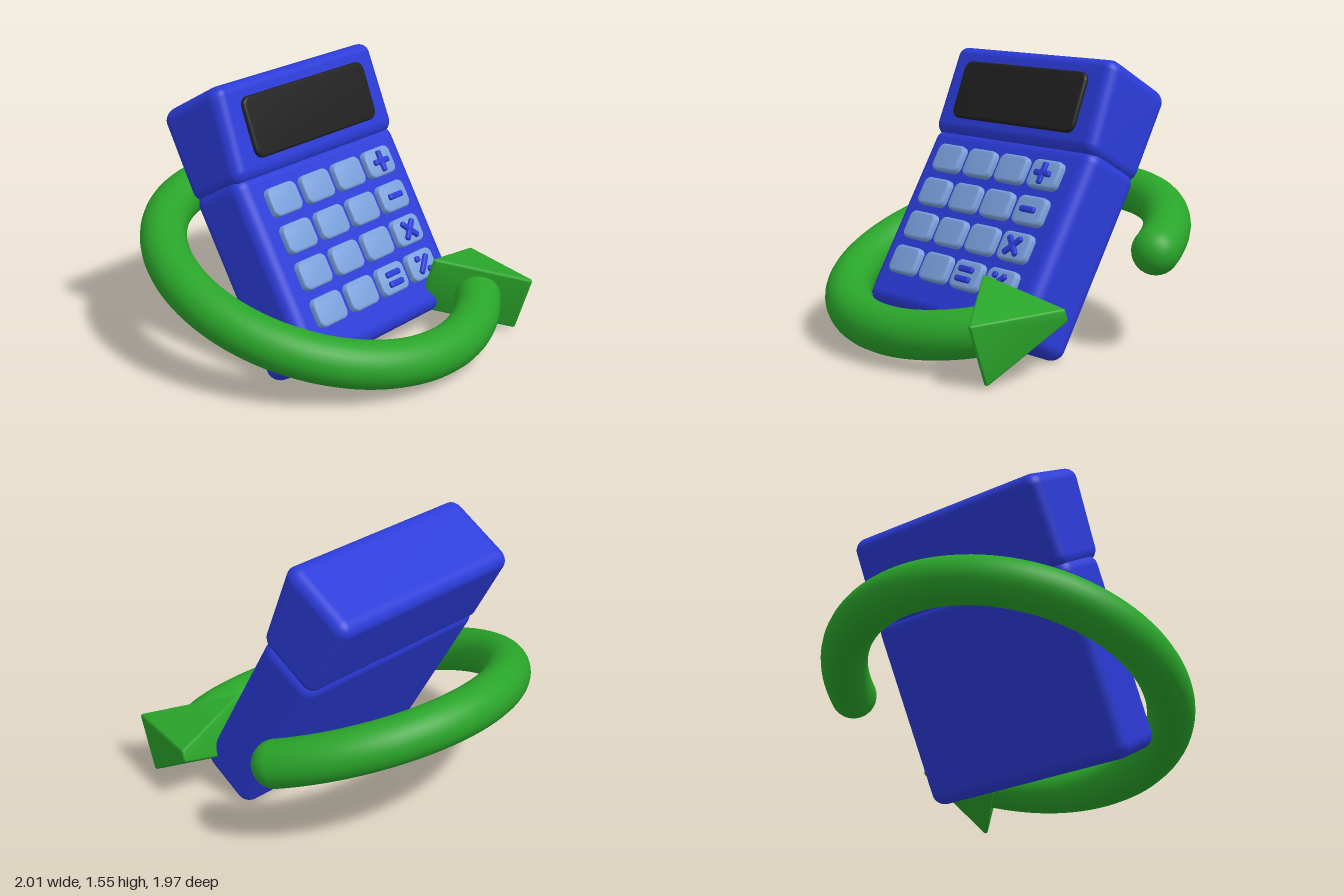
import * as THREE from 'three';
import { mergeVertices, toCreasedNormals } from 'three/addons/utils/BufferGeometryUtils.js';
import { RoundedBoxGeometry } from 'three/addons/geometries/RoundedBoxGeometry.js';
import { ConvexGeometry } from 'three/addons/geometries/ConvexGeometry.js';

const paint = (color) => new THREE.MeshStandardMaterial({ color });
const blue = paint(0x2b3bd8);
const lightBlue = paint(0x7aa0dc);
const black = paint(0x202020);
const green = paint(0x2aa52a);

function addMesh(parent, name, geometry, material, x = 0, y = 0, z = 0) {
  const mesh = new THREE.Mesh(geometry, material);
  mesh.name = name;
  mesh.position.set(x, y, z);
  parent.add(mesh);
  return mesh;
}

// Thin plate with rounded corners and a soft front edge; back at z = 0
function plate(w, h, depth, r, bevel) {
  const x = w / 2 - bevel, y = h / 2 - bevel, k = r - bevel;
  const s = new THREE.Shape();
  s.absarc(x - k, y - k, k, 0, Math.PI / 2);
  s.absarc(-x + k, y - k, k, Math.PI / 2, Math.PI);
  s.absarc(-x + k, -y + k, k, Math.PI, Math.PI * 1.5);
  s.absarc(x - k, -y + k, k, Math.PI * 1.5, Math.PI * 2);
  const g = new THREE.ExtrudeGeometry(s, {
    depth: depth - 2 * bevel, bevelThickness: bevel, bevelSize: bevel, bevelSegments: 4, curveSegments: 6,
  });
  g.translate(0, 0, bevel);
  return toCreasedNormals(g, 0.7);
}

// Display housing: deeper and slightly narrower towards its top
function headGeometry(w, h, depthLow, depthHigh) {
  let g = new RoundedBoxGeometry(w, h, depthLow, 6, 0.065);
  const p = g.attributes.position;
  for (let i = 0; i < p.count; i++) {
    const t = p.getY(i) / h + 0.5;
    p.setX(i, p.getX(i) * (1 - 0.025 * t * t));
    p.setZ(i, (p.getZ(i) + depthLow / 2) * (1 + (depthHigh / depthLow - 1) * t));
  }
  g.deleteAttribute('normal');
  g.deleteAttribute('uv');
  g = mergeVertices(g, 1e-4);
  g.computeVertexNormals();
  return g;
}

function createCalculator() {
  const calc = new THREE.Group();
  calc.name = 'calculator';
  calc.position.x = 0.03;
  calc.rotation.x = -Math.PI / 6;

  // Casing
  addMesh(calc, 'keypadBody', new RoundedBoxGeometry(1.32, 1.09, 0.385, 6, 0.075), blue, 0, 0.437, 0.327);
  addMesh(calc, 'displayHousing', headGeometry(1.315, 0.525, 0.405, 0.49), blue, 0, 1.1975, 0.135);
  addMesh(calc, 'screen', plate(1.0, 0.335, 0.07, 0.055, 0.015), black, 0, 1.2, 0.537).rotation.x = 0.16;

  // Keys
  const columns = [-0.405, -0.135, 0.132, 0.4];
  const rows = [0.785, 0.575, 0.367, 0.157];
  const keyGeometry = plate(0.222, 0.162, 0.075, 0.04, 0.015);
  for (const y of rows) for (const x of columns) addMesh(calc, 'key', keyGeometry, lightBlue, x, y, 0.483);

  // Raised signs, made of bars: [x, y, length, turn]
  const sign = (name, col, row, bars) => {
    const group = new THREE.Group();
    group.name = name;
    group.position.set(columns[col], rows[row], 0.56);
    for (const [x, y, length, turn] of bars) {
      addMesh(group, 'bar', new RoundedBoxGeometry(length, 0.034, 0.034, 3, 0.012), blue, x, y, 0).rotation.z = turn;
    }
    calc.add(group);
  };
  const q = Math.PI / 4;
  sign('plusSign', 3, 0, [[0, 0, 0.125, 0], [0, 0, 0.125, 2 * q]]);
  sign('minusSign', 3, 1, [[0, 0, 0.115, 0]]);
  sign('timesSign', 3, 2, [[0, 0, 0.14, q], [0, 0, 0.14, -q]]);
  sign('divideSign', 3, 3, [[0, 0, 0.13, q], [-0.038, 0.038, 0.036, 0], [0.038, -0.038, 0.036, 0]]);
  sign('equalsSign', 2, 3, [[0, 0.028, 0.115, 0], [0, -0.028, 0.115, 0]]);
  return calc;
}

function createArrow() {
  const arrow = new THREE.Group();
  arrow.name = 'circlingArrow';
  arrow.position.set(0.03, 0.455, 0);
  arrow.rotation.x = 0.323;
  const R = 0.905, r = 0.129;

  // Shaft: an open ring with a rounded tail
  const start = THREE.MathUtils.degToRad(48), end = THREE.MathUtils.degToRad(339);
  const ring = new THREE.TorusGeometry(R, r, 28, 96, end - start);
  ring.rotateZ(start).rotateX(Math.PI / 2);
  addMesh(arrow, 'arrowShaft', ring, green);
  addMesh(arrow, 'arrowTail', new THREE.SphereGeometry(r, 28, 20), green, R * Math.cos(end), 0, R * Math.sin(end));

  // Head: a wedge with softened corners, [x, half height, z]
  const e = 0.014, ball = new THREE.IcosahedronGeometry(e, 1).attributes.position;
  const points = [];
  for (const [x, h, z] of [[0.4, 0.155, 0.467], [0.762, 0.155, 0.882], [0.882, 0.025, 0.406]]) {
    for (const side of [-1, 1]) for (let i = 0; i < ball.count; i++) {
      points.push(new THREE.Vector3().fromBufferAttribute(ball, i).add(new THREE.Vector3(x, side * h, z)));
    }
  }
  addMesh(arrow, 'arrowHead', toCreasedNormals(new ConvexGeometry(points), 0.4), green);
  return arrow;
}

export function createModel() {
  const model = new THREE.Group();
  model.name = 'calculatorWithArrow';
  model.add(createCalculator(), createArrow());
  return model;
}
